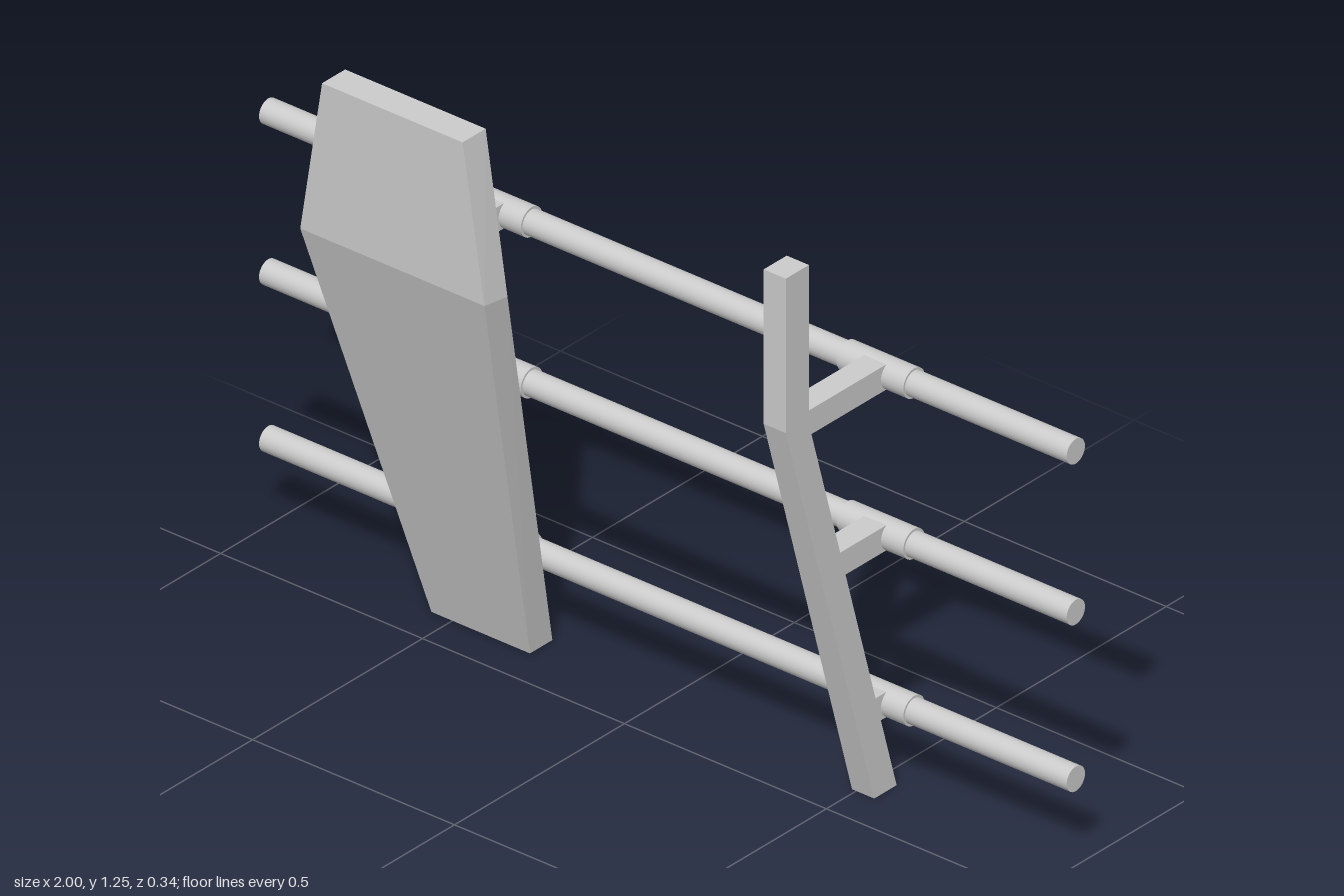
import * as THREE from 'three';

const material = new THREE.MeshStandardMaterial({ color: 0xcccccc });
const RAIL_Z = -0.14;
const RAIL_YS = [0.19, 0.555, 0.907];

function addMesh(parent, name, geometry, x = 0, y = 0, z = 0) {
  const mesh = new THREE.Mesh(geometry, material);
  mesh.name = name;
  mesh.position.set(x, y, z);
  parent.add(mesh);
  return mesh;
}

// Flat-faced loft through rectangular sections, each { y front, y back, z front, z back, half width }
function loft(sections) {
  const rings = sections.map(([yf, yb, zf, zb, w]) => [
    [-w, yf, zf], [w, yf, zf], [w, yb, zb], [-w, yb, zb],
  ]);
  const positions = [];
  const quad = (a, b, c, d) => positions.push(...a, ...b, ...c, ...a, ...c, ...d);
  for (let r = 0; r < rings.length - 1; r++) {
    for (let i = 0; i < 4; i++) {
      const j = (i + 1) % 4;
      quad(rings[r][i], rings[r][j], rings[r + 1][j], rings[r + 1][i]);
    }
  }
  quad(...[...rings[0]].reverse());
  quad(...rings[rings.length - 1]);
  const geometry = new THREE.BufferGeometry();
  geometry.setAttribute('position', new THREE.Float32BufferAttribute(positions, 3));
  geometry.computeVertexNormals();
  return geometry;
}

// Bent slab: leaning lower part, upright upper part
function bentSlab(bottom, middle, top) {
  return loft([
    [0, 0, -0.088, -0.154, bottom],
    [0.915, 0.905, 0.172, 0.104, middle],
    [1.253, 1.253, 0.172, 0.104, top],
  ]);
}

function rod(radius, length) {
  return new THREE.CylinderGeometry(radius, radius, length, 32).rotateZ(Math.PI / 2);
}

// Upright with a sleeve and a bracket arm at every rail
function upright(name, x, slab) {
  const group = new THREE.Group();
  group.name = name;
  group.position.x = x;
  addMesh(group, name + 'Slab', slab);
  for (const y of RAIL_YS) {
    addMesh(group, 'sleeve', rod(0.032, 0.165), 0, y, RAIL_Z);
    const armEnd = -0.121 + 0.285 * y; // middle of the leaning slab
    const length = armEnd - RAIL_Z;
    addMesh(group, 'bracketArm', new THREE.BoxGeometry(0.055, 0.055, length), 0, y, RAIL_Z + length / 2);
  }
  return group;
}

export function createModel() {
  const model = new THREE.Group();
  model.name = 'railFence';
  for (const y of RAIL_YS) addMesh(model, 'rail', rod(0.027, 2), 0, y, RAIL_Z);
  model.add(upright('widePanel', -0.43, bentSlab(0.122, 0.228, 0.174)));
  model.add(upright('narrowPost', 0.517, bentSlab(0.0275, 0.0275, 0.0275)));
  return model;
}
